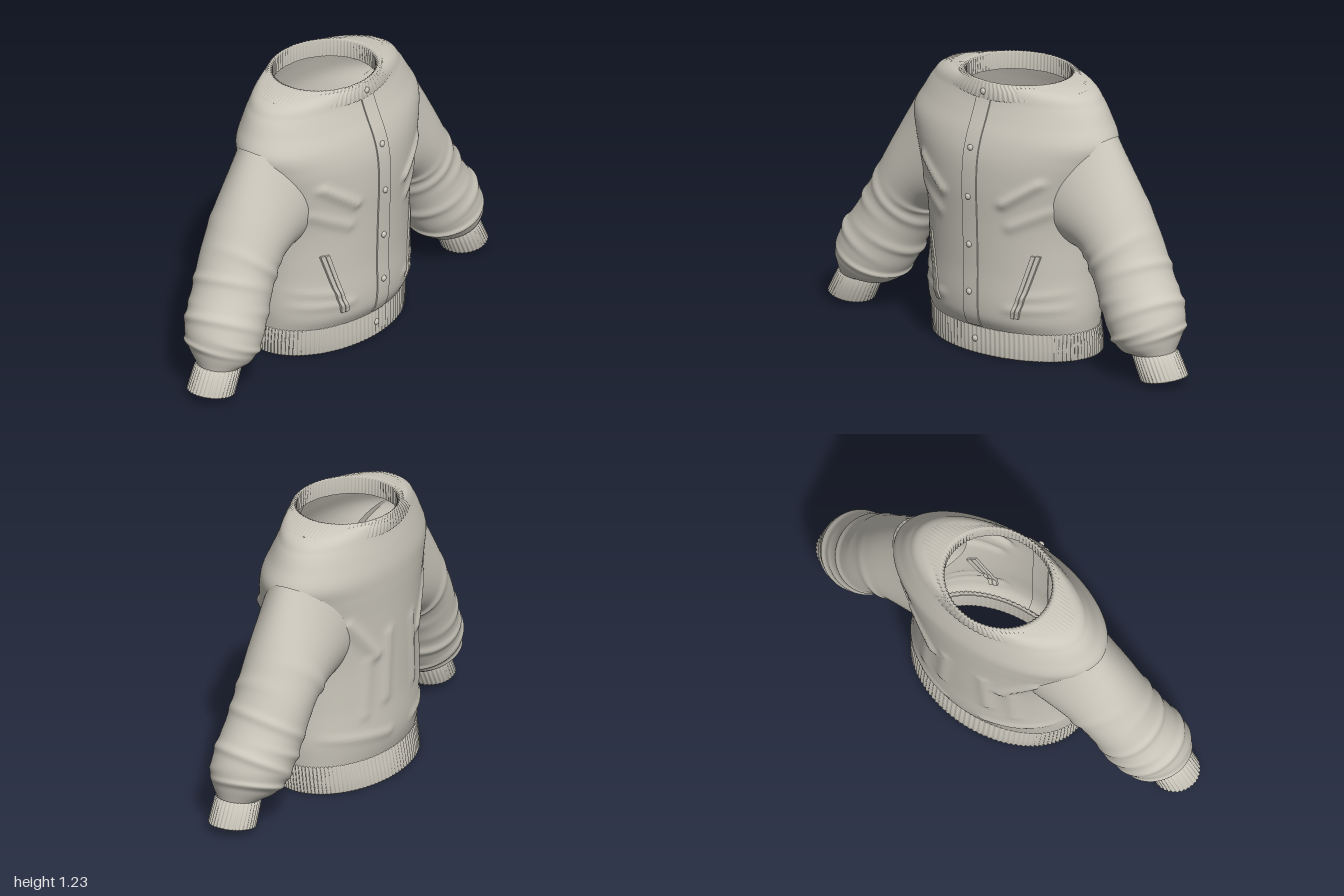
import * as THREE from 'three';

const cloth = new THREE.MeshStandardMaterial({ color: 0xcbc7bc, side: THREE.DoubleSide });
cloth.name = 'warm grey cloth';

// Smooth lookup in a table whose rows are [parameter, ...values]
function smoothTable(rows) {
  const f = new THREE.CubicInterpolant(rows.map(r => r[0]), rows.flatMap(r => r.slice(1)), rows[0].length - 1);
  return t => Array.from(f.evaluate(t));
}

// Skin a grid of closed rings: point(row, angle) returns [x, y, z]
function loft(rows, seg, point) {
  const pos = [], idx = [];
  for (let r = 0; r <= rows; r++)
    for (let j = 0; j < seg; j++) pos.push(...point(r, j / seg * Math.PI * 2));
  for (let r = 0; r < rows; r++)
    for (let j = 0; j < seg; j++) {
      const a = r * seg + j, b = r * seg + (j + 1) % seg;
      idx.push(a, a + seg, b, b, a + seg, b + seg);
    }
  const g = new THREE.BufferGeometry();
  g.setAttribute('position', new THREE.Float32BufferAttribute(pos, 3));
  g.setIndex(idx);
  g.computeVertexNormals();
  return g;
}

function add(parent, name, geometry) {
  const m = new THREE.Mesh(geometry, cloth);
  m.name = name;
  parent.add(m);
  return m;
}

// Torso sections: height, half width, front z, back z
const torso = smoothTable([
  [0.12, 0.42, 0.255, -0.28], [0.17, 0.425, 0.283, -0.294], [0.22, 0.428, 0.292, -0.302],
  [0.4, 0.42, 0.292, -0.3], [0.6, 0.425, 0.297, -0.3], [0.8, 0.47, 0.303, -0.3],
  [0.92, 0.51, 0.293, -0.3], [1.0, 0.53, 0.27, -0.296], [1.08, 0.49, 0.235, -0.28],
  [1.15, 0.445, 0.208, -0.262], [1.2, 0.39, 0.197, -0.252], [1.218, 0.33, 0.192, -0.25],
  [1.226, 0.265, 0.19, -0.248]]);

// Cloth folds: x0, y0, x1, y1, width, height (mirrored in x)
const frontFolds = [[0.33, 0.83, 0.17, 0.72, 0.022, 0.016], [0.36, 0.7, 0.2, 0.62, 0.025, 0.01],
  [0.4, 0.25, 0.18, 0.24, 0.018, 0.007], [0.4, 0.32, 0.25, 0.3, 0.018, 0.006]];
const backFolds = [[0.33, 0.8, 0.18, 0.62, 0.025, 0.015], [0.1, 0.7, 0.12, 0.4, 0.025, 0.01],
  [0.22, 0.6, 0.24, 0.35, 0.025, 0.008], [0.4, 0.26, 0.1, 0.23, 0.02, 0.008]];
function foldHeight(x, y, folds) {
  let h = 0;
  for (const [x0, y0, x1, y1, w, a] of folds) {
    const dx = x1 - x0, dy = y1 - y0, px = Math.abs(x) - x0, py = y - y0;
    const t = THREE.MathUtils.clamp((px * dx + py * dy) / (dx * dx + dy * dy), 0, 1);
    h += a * Math.exp(-((px - t * dx) ** 2 + (py - t * dy) ** 2) / (w * w));
  }
  return h;
}
function frontZ(x, y) {
  const [w, f, b] = torso(y);
  return (f + b) / 2 + (f - b) / 2 * Math.sqrt(Math.max(0, 1 - (x / w) ** 2)) + foldHeight(x, y, frontFolds);
}

// Strip bent over the front of the torso
function frontStrip(x0, y0, x1, y1, width, thick) {
  const g = new THREE.BoxGeometry(width, Math.hypot(x1 - x0, y1 - y0), thick, 4, 40, 1);
  g.rotateZ(-Math.atan2(x1 - x0, y1 - y0));
  g.translate((x0 + x1) / 2, (y0 + y1) / 2, 0);
  const p = g.attributes.position;
  for (let i = 0; i < p.count; i++) p.setZ(i, p.getZ(i) + frontZ(p.getX(i), p.getY(i)));
  g.computeVertexNormals();
  return g;
}

// Ribbed elliptical band; profile rows: cx, cy, cz, ux, uy, vz, rib depth
function ribbed(profile, ribs, lift = () => 0) {
  return loft(profile.length - 1, ribs * 4, (r, a) => {
    const [cx, cy, cz, ux, uy, vz, d] = profile[r];
    const k = 1 + d * Math.cos(a * ribs), c = Math.cos(a) * k, s = Math.sin(a) * k;
    return [cx + ux * c, cy + uy * c + lift(r, a), cz + vz * s];
  });
}

// Sleeve sections: step, centre xyz, half-width vector xy, half depth, armhole curve
const sleeve = smoothTable([
  [0, 0.46, 0.77, -0.02, 0.075, 0.26, 0.2, 0.14], [1, 0.545, 0.66, -0.02, 0.115, 0.155, 0.185, 0.04],
  [2, 0.615, 0.54, -0.015, 0.15, 0.08, 0.175, 0], [3, 0.69, 0.4, 0, 0.15, 0.08, 0.175, 0],
  [4, 0.75, 0.295, 0.015, 0.155, 0.085, 0.175, 0], [5, 0.79, 0.225, 0.025, 0.15, 0.07, 0.165, 0],
  [6, 0.815, 0.17, 0.035, 0.125, 0.05, 0.135, 0], [7, 0.837, 0.135, 0.045, 0.09, 0.012, 0.092, 0]]);
// Sleeve wrinkles: step, width, height, angle it faces, slant
const wrinkles = [[1.5, 0.16, 0.05, 2.6, 0.2], [2.1, 0.14, 0.05, 4.4, -0.25], [2.7, 0.14, 0.05, 0.3, 0.2],
  [3.4, 0.16, 0.06, 2.8, -0.2], [4.1, 0.2, 0.06, 0.2, 0.25], [4.8, 0.22, 0.07, 3.4, 0.2], [5.5, 0.22, 0.08, 1, -0.2]];

function makeSleeve(name) {
  const g = new THREE.Group();
  g.name = name;
  add(g, 'sleeve', loft(110, 72, (r, a) => {
    const t = r / 110 * 7;
    const [cx, cy, cz, ux, uy, b, sag] = sleeve(t);
    let k = 1;
    for (const [t0, w, h, face, slant] of wrinkles)
      k += h * Math.exp(-(((t - t0 - slant * Math.sin(a - face)) / w) ** 2)) * (0.5 + 0.5 * Math.cos(a - face));
    const c = Math.cos(a) * k, s = Math.sin(a) * k;
    return [cx + ux * c - sag * s * s, cy + uy * c, cz - b * s];
  }));
  add(g, 'cuff', ribbed([
    [0.83, 0.15, 0.045, 0.08, 0.01, -0.08, 0.01], [0.84, 0.132, 0.045, 0.1, 0.01, -0.1, 0.03],
    [0.865, 0.082, 0.045, 0.101, 0.014, -0.102, 0.03], [0.89, 0.033, 0.045, 0.101, 0.017, -0.103, 0.03],
    [0.892, 0.027, 0.045, 0.094, 0.016, -0.096, 0.02], [0.888, 0.035, 0.045, 0.084, 0.015, -0.086, 0.02],
    [0.845, 0.125, 0.045, 0.08, 0.01, -0.08, 0.01]], 34));
  return g;
}

export function createModel() {
  const jacket = new THREE.Group();
  jacket.name = 'jacket';

  // Torso with open neck and hem
  add(jacket, 'torso', loft(120, 128, (r, a) => {
    const y = 0.12 + 1.106 * Math.sin(r / 120 * Math.PI / 2);
    const [w, f, b] = torso(y), c = Math.cos(a), s = Math.sin(a);
    const h = foldHeight(w * c, y, s > 0 ? frontFolds : backFolds) * Math.min(1, Math.abs(s) * 2);
    return [w * c, y, (f + b) / 2 + (f - b) / 2 * s + Math.sign(s) * h];
  }));

  // Ribbed hem band
  add(jacket, 'hemBand', ribbed([
    [0, 0.135, -0.012, 0.4, 0, 0.255, 0], [0, 0.134, -0.012, 0.418, 0, 0.268, 0.008],
    [0, 0.125, -0.012, 0.425, 0, 0.272, 0.01], [0, 0.06, -0.018, 0.425, 0, 0.278, 0.01],
    [0, 0.008, -0.022, 0.421, 0, 0.281, 0.01], [0, 0.002, -0.022, 0.414, 0, 0.275, 0.006],
    [0, 0.006, -0.022, 0.402, 0, 0.264, 0.004], [0, 0.13, -0.012, 0.4, 0, 0.255, 0]], 110));

  // Ribbed collar, spreading over the shoulders at its sides
  const spread = [0.055, 0.052, 0.025, 0.006, 0, 0, 0];
  add(jacket, 'collar', ribbed([
    [0, 1.148, -0.026, 0.375, 0, 0.228, 0.006], [0, 1.156, -0.026, 0.378, 0, 0.24, 0.009],
    [0, 1.197, -0.028, 0.33, 0, 0.233, 0.011], [0, 1.224, -0.029, 0.268, 0, 0.23, 0.012],
    [0, 1.231, -0.029, 0.257, 0, 0.224, 0.012], [0, 1.225, -0.029, 0.243, 0, 0.215, 0.01],
    [0, 1.15, -0.028, 0.246, 0, 0.217, 0.008]], 90, (r, a) => spread[r] * Math.cos(a) ** 2));

  // Button placket and snaps
  add(jacket, 'placket', frontStrip(0, 0.135, 0, 1.155, 0.08, 0.012));
  for (const y of [0.07, 0.295, 0.51, 0.73, 0.95, 1.185]) {
    const snap = add(jacket, 'snap', new THREE.SphereGeometry(0.014, 16, 10));
    snap.scale.z = 0.7;
    snap.position.set(-0.003, y, y < 0.12 ? 0.262 : frontZ(0, y) + 0.008);
  }

  // Slanted pocket welts: two raised lips each
  for (const s of [-1, 1])
    for (const d of [-0.009, 0.009])
      add(jacket, 'pocketWelt', frontStrip(s * (0.215 + d), 0.205, s * (0.3 + d), 0.495, 0.015, 0.02));

  // Sleeves
  const right = makeSleeve('rightSleeve');
  right.scale.x = -1;
  jacket.add(makeSleeve('leftSleeve'), right);
  return jacket;
}
